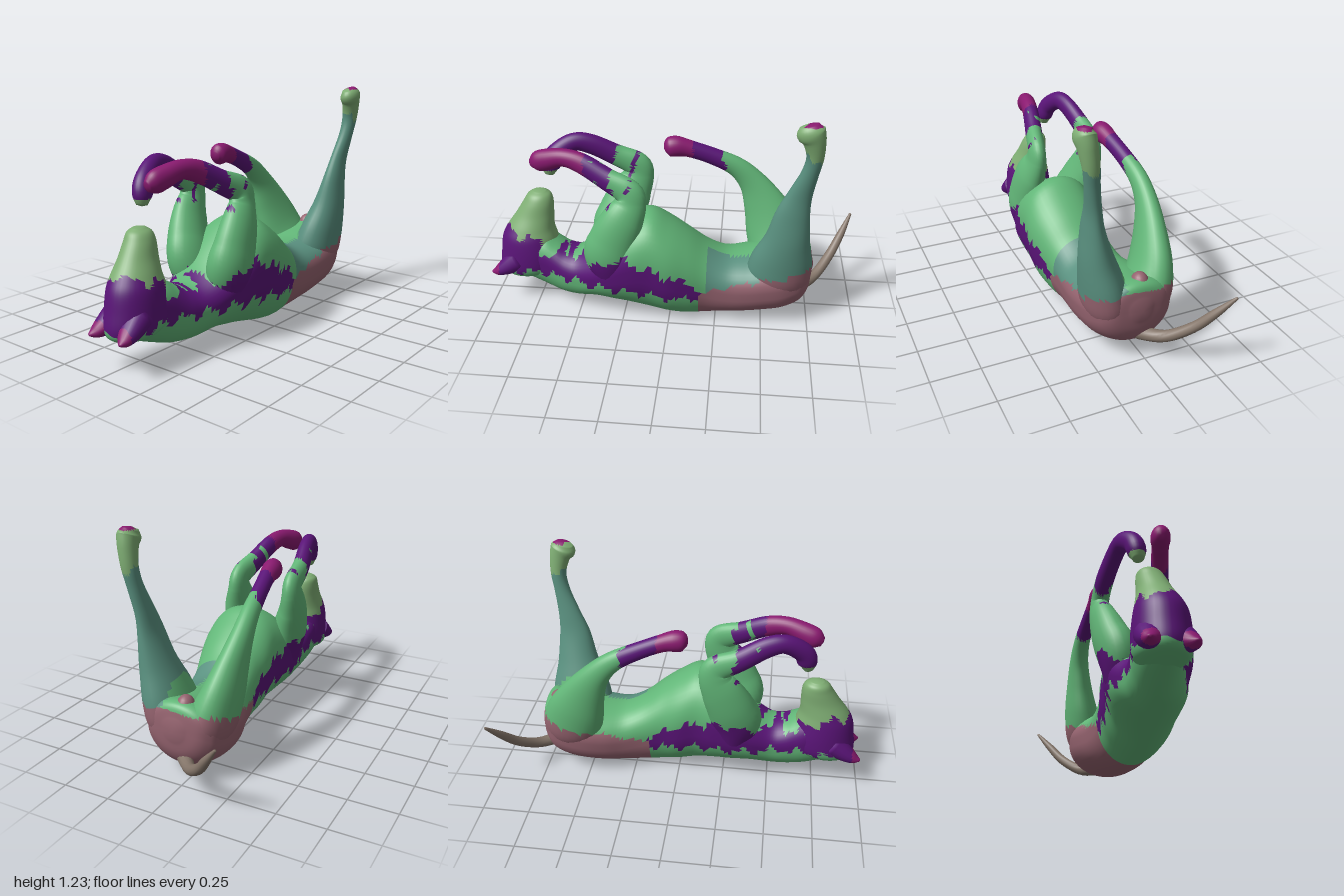
import * as THREE from 'three';

const COLORS = {
  green: 0x62b678, olive: 0x7fae74, teal: 0x5a9180, pink: 0x966470,
  purple: 0x5a1478, magenta: 0x8a1a70, tan: 0x85766a,
};
const materials = {};
for (const key in COLORS) materials[key] = new THREE.MeshStandardMaterial({ color: COLORS[key] });

// Ragged edge for the coat markings
const ragged = (p) => 0.022 * Math.sin(p.x * 43 + p.z * 17) + 0.016 * Math.sin(p.x * 91 - p.y * 37);

// Coat colour by place on the trunk, shoulders and haunches
function coat(p) {
  const n = ragged(p);
  if (p.x > 0.16 && p.y < 0.21 + (p.x - 0.16) * 0.3 + n * 0.4) return 'pink';
  const low = 0.22 - 0.1 * Math.max(0, p.x + 0.3);
  const high = 0.34 + 0.08 * Math.exp(-(((p.x + 0.25) / 0.15) ** 2)) - 0.5 * Math.max(0, p.x);
  if (p.x < 0.17 && p.y > low + n && p.y < high + n) return 'purple';
  if (p.x > 0.2 && p.z > 0.1) return 'teal';
  return 'green';
}

// Loft through stations [x, y, z, radius across, radius sideways], split by colour.
// A fixed axis keeps the rings parallel; broad widens the upper half of each ring.
function loft(name, stations, colorAt, { steps = 56, sides = 28, axis = null, broad = 0 } = {}) {
  const curve = (pick) => new THREE.CatmullRomCurve3(stations.map(pick), false, 'catmullrom');
  const path = curve((s) => new THREE.Vector3(s[0], s[1], s[2]));
  const size = curve((s) => new THREE.Vector3(s[3], s[4], 0));
  const points = [];
  const ends = [];
  for (let i = 0; i <= steps; i++) {
    const c = path.getPoint(i / steps);
    const r = size.getPoint(i / steps);
    const t = axis ?? path.getTangent(i / steps);
    const w = new THREE.Vector3(0, 0, 1).addScaledVector(t, -t.z).normalize();
    const u = new THREE.Vector3().crossVectors(w, t);
    for (let j = 0; j < sides; j++) {
      const a = (j / sides) * Math.PI * 2;
      const side = Math.sin(a) * (1 + broad * Math.max(0, Math.cos(a)));
      points.push(c.clone().addScaledVector(u, r.x * Math.cos(a)).addScaledVector(w, r.y * side));
    }
    if (i === 0) ends.push(c.clone().addScaledVector(t, -0.25 * r.y));
    if (i === steps) ends.push(c.clone().addScaledVector(t, 0.25 * r.y));
  }
  const first = points.push(ends[0]) - 1;
  const last = points.push(ends[1]) - 1;

  const faces = [];
  for (let j = 0; j < sides; j++) {
    const k = (j + 1) % sides;
    faces.push([first, k, j], [last, steps * sides + j, steps * sides + k]);
    for (let i = 0; i < steps; i++) {
      const a = i * sides, b = a + sides;
      faces.push([a + j, a + k, b + j], [a + k, b + k, b + j]);
    }
  }
  const whole = new THREE.BufferGeometry().setFromPoints(points);
  whole.setIndex(faces.flat());
  whole.computeVertexNormals();

  const byColor = {};
  for (const f of faces) {
    const mid = new THREE.Vector3();
    f.forEach((v) => mid.addScaledVector(points[v], 1 / 3));
    (byColor[colorAt(mid)] ??= []).push(...f);
  }
  const group = new THREE.Group();
  group.name = name;
  for (const key in byColor) {
    const geometry = new THREE.BufferGeometry();
    geometry.setAttribute('position', whole.getAttribute('position'));
    geometry.setAttribute('normal', whole.getAttribute('normal'));
    geometry.setIndex(byColor[key]);
    const mesh = new THREE.Mesh(geometry, materials[key]);
    mesh.name = `${name} ${key}`;
    group.add(mesh);
  }
  return group;
}

export function createModel() {
  const model = new THREE.Group();
  model.name = 'animalOnItsBack';

  // Trunk and neck: [x, lowest y, highest y, centre z, half width]
  const trunk = [
    [-0.86, 0.155, 0.35, 0.03, 0.08], [-0.78, 0.12, 0.41, 0.03, 0.105], [-0.7, 0.09, 0.425, 0.037, 0.118],
    [-0.63, 0.07, 0.385, 0.05, 0.124], [-0.57, 0.064, 0.35, 0.06, 0.133], [-0.5, 0.065, 0.345, 0.067, 0.145],
    [-0.4, 0.08, 0.4, 0.072, 0.18], [-0.3, 0.07, 0.5, 0.08, 0.205], [-0.2, 0.055, 0.59, 0.09, 0.21],
    [-0.1, 0.035, 0.622, 0.1, 0.2], [0, 0.015, 0.57, 0.1, 0.2], [0.1, 0.003, 0.5, 0.095, 0.182],
    [0.2, 0.005, 0.42, 0.078, 0.172], [0.3, 0.013, 0.37, 0.064, 0.182], [0.4, 0.024, 0.37, 0.05, 0.203],
    [0.5, 0.037, 0.39, 0.04, 0.215], [0.6, 0.053, 0.41, 0.035, 0.212], [0.68, 0.083, 0.43, 0.03, 0.193],
    [0.72, 0.12, 0.43, 0.03, 0.165], [0.745, 0.17, 0.41, 0.03, 0.125], [0.756, 0.23, 0.36, 0.03, 0.06],
  ].map(([x, lo, hi, z, w]) => [x, (lo + hi) / 2, z, (hi - lo) / 2, w]);
  model.add(loft('trunk', trunk, coat, { steps: 100, sides: 48, axis: new THREE.Vector3(1, 0, 0), broad: 0.2 }));

  // Head with the muzzle pointing up: [y, back x, front x, centre z, half width]
  const head = [
    [0.155, -0.9, -0.74, 0.03, 0.06], [0.175, -0.95, -0.68, 0.03, 0.105], [0.22, -0.965, -0.62, 0.03, 0.13],
    [0.3, -0.955, -0.615, 0.03, 0.132], [0.39, -0.94, -0.635, 0.028, 0.122], [0.45, -0.91, -0.65, 0.022, 0.105],
    [0.52, -0.86, -0.65, 0.012, 0.083], [0.59, -0.815, -0.65, 0.002, 0.07], [0.63, -0.79, -0.662, -0.006, 0.056],
    [0.65, -0.76, -0.69, -0.01, 0.028],
  ].map(([y, a, b, z, w]) => [(a + b) / 2, y, z, (b - a) / 2, w]);
  model.add(loft('head', head, (p) => {
    const n = ragged(p);
    if (p.y > 0.45 - Math.max(0, p.x + 0.85) * 0.35 + n) return 'olive';
    return p.y > 0.22 + n ? 'purple' : 'green';
  }, { sides: 36, axis: new THREE.Vector3(0, 1, 0) }));

  // Broad ears, pointing back from the crown
  for (const s of [-1, 1]) {
    model.add(loft(s > 0 ? 'leftEar' : 'rightEar', [
      [-0.84, 0.27, 0.03 + s * 0.065, 0.07, 0.07], [-0.91, 0.225, 0.03 + s * 0.08, 0.05, 0.055],
      [-0.96, 0.2, 0.03 + s * 0.092, 0.03, 0.036], [-0.995, 0.193, 0.03 + s * 0.1, 0.007, 0.009],
    ], (p) => (p.x < -0.95 ? 'magenta' : 'purple'), { steps: 14, sides: 16 }));
  }

  // Front legs, folded towards the head
  const frontCoat = (tip) => (p) => {
    if (p.y < 0.6) return coat(p);
    return p.x < -0.3 + ragged(p) * 3 && p.y > 0.68 ? (p.x < -0.44 ? tip : 'purple') : 'green';
  };
  model.add(loft('leftFrontLeg', [
    [-0.3, 0.26, 0.17, 0.1, 0.1], [-0.31, 0.4, 0.2, 0.14, 0.105], [-0.285, 0.5, 0.208, 0.13, 0.09],
    [-0.24, 0.61, 0.203, 0.112, 0.075], [-0.2, 0.7, 0.187, 0.085, 0.052], [-0.21, 0.765, 0.178, 0.075, 0.045],
    [-0.32, 0.82, 0.15, 0.06, 0.045], [-0.45, 0.885, 0.118, 0.055, 0.043], [-0.55, 0.905, 0.097, 0.048, 0.043],
    [-0.64, 0.88, 0.075, 0.057, 0.048], [-0.695, 0.86, 0.063, 0.055, 0.044], [-0.732, 0.845, 0.057, 0.026, 0.022],
  ], frontCoat('magenta'), { steps: 66 }));
  model.add(loft('rightFrontLeg', [
    [-0.3, 0.26, -0.02, 0.1, 0.1], [-0.31, 0.4, -0.06, 0.14, 0.1], [-0.285, 0.5, -0.095, 0.13, 0.09],
    [-0.24, 0.61, -0.125, 0.112, 0.07], [-0.2, 0.7, -0.14, 0.085, 0.052], [-0.21, 0.765, -0.14, 0.075, 0.045],
    [-0.32, 0.82, -0.135, 0.06, 0.045], [-0.45, 0.89, -0.11, 0.055, 0.042], [-0.54, 0.905, -0.09, 0.05, 0.042],
    [-0.63, 0.85, -0.06, 0.052, 0.045], [-0.66, 0.79, -0.045, 0.052, 0.045], [-0.67, 0.74, -0.04, 0.027, 0.027],
  ], (p) => (p.x < -0.61 && p.y < 0.77 ? 'olive' : frontCoat('purple')(p)), { steps: 66 }));

  // Right hind leg, bent forward
  model.add(loft('rightHindLeg', [
    [0.6, 0.18, -0.03, 0.09, 0.08], [0.59, 0.29, -0.08, 0.155, 0.113], [0.55, 0.42, -0.12, 0.155, 0.094],
    [0.49, 0.56, -0.144, 0.115, 0.07], [0.42, 0.68, -0.157, 0.075, 0.053], [0.33, 0.77, -0.155, 0.055, 0.044],
    [0.2, 0.835, -0.14, 0.046, 0.04], [0.08, 0.88, -0.123, 0.046, 0.042], [0.01, 0.895, -0.115, 0.056, 0.05],
    [-0.03, 0.89, -0.11, 0.052, 0.045], [-0.052, 0.885, -0.107, 0.022, 0.02],
  ], (p) => (p.y < 0.6 ? coat(p) : p.x < 0.27 + ragged(p) * 2.5 ? (p.x < 0.1 ? 'magenta' : 'purple') : 'green')));

  // Left hind leg, stretched straight up
  model.add(loft('leftHindLeg', [
    [0.56, 0.17, 0.1, 0.1, 0.08], [0.575, 0.28, 0.135, 0.165, 0.115], [0.59, 0.4, 0.165, 0.16, 0.105],
    [0.607, 0.55, 0.2, 0.115, 0.08], [0.62, 0.7, 0.223, 0.088, 0.052], [0.645, 0.82, 0.235, 0.062, 0.038],
    [0.68, 0.95, 0.255, 0.043, 0.036], [0.697, 1.05, 0.268, 0.042, 0.04], [0.685, 1.14, 0.28, 0.055, 0.046],
    [0.665, 1.185, 0.285, 0.068, 0.05], [0.655, 1.217, 0.28, 0.045, 0.032],
  ], (p) => (p.y < 0.5 ? coat(p) : p.y > 1.217 ? 'magenta' : p.y > 1.05 + ragged(p) ? 'olive' : 'teal')));

  // Tail, sweeping back to the right
  model.add(loft('tail', [
    [0.66, 0.15, 0.04, 0.05, 0.05], [0.72, 0.13, -0.01, 0.036, 0.036], [0.8, 0.145, -0.085, 0.029, 0.029],
    [0.88, 0.22, -0.18, 0.026, 0.026], [0.94, 0.315, -0.255, 0.021, 0.021], [0.993, 0.412, -0.33, 0.007, 0.007],
  ], () => 'tan', { steps: 30, sides: 14 }));

  // Small bump between the hind legs
  const bump = new THREE.Mesh(new THREE.SphereGeometry(0.05, 20, 14), materials.pink);
  bump.name = 'groinBump';
  bump.scale.set(1, 1.2, 0.9);
  bump.position.set(0.68, 0.395, 0.005);
  model.add(bump);

  return model;
}
